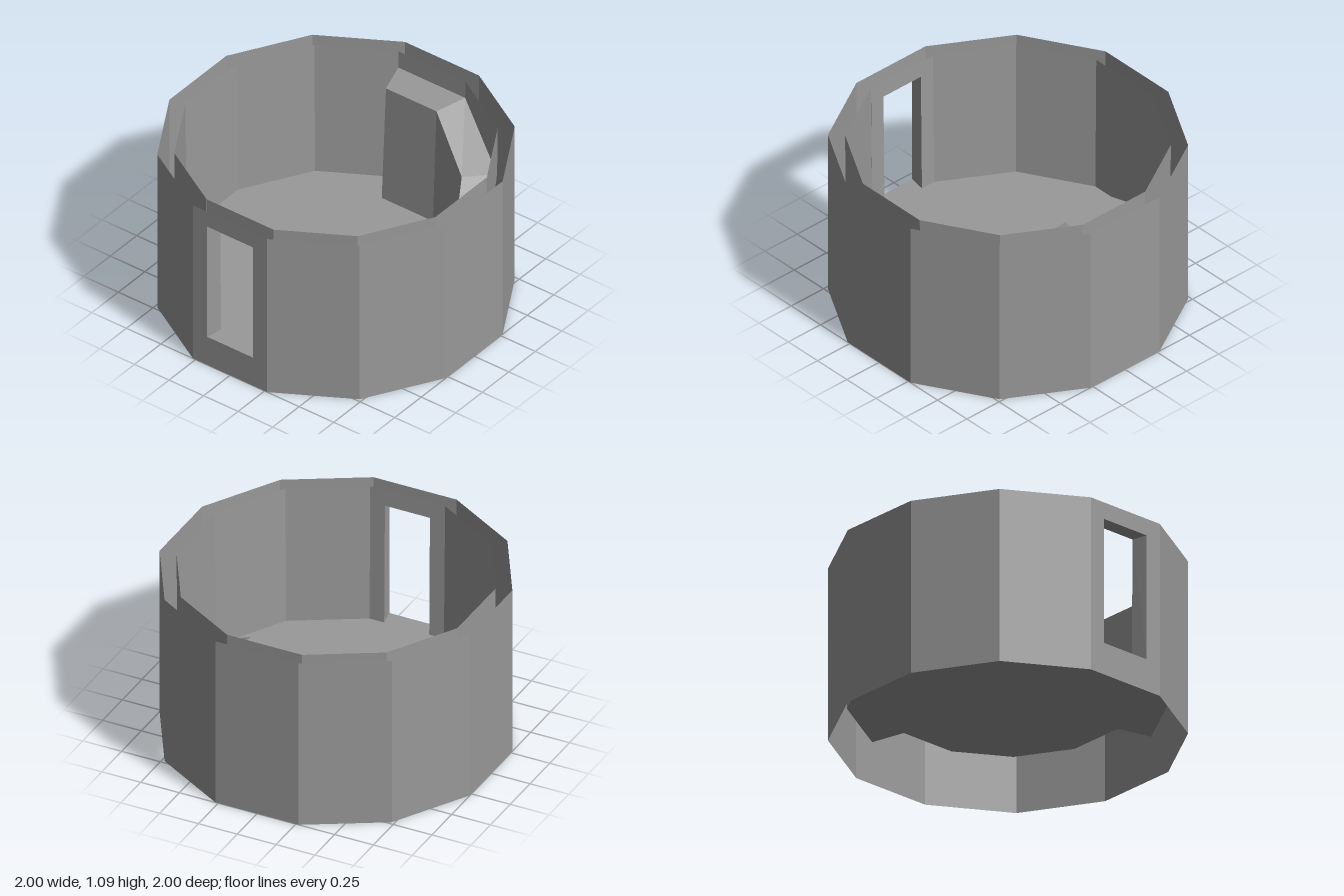
import * as THREE from 'three';

const TOP = 1.09, FLOOR = 0.2, DOOR_TOP = 0.985;
const grey = new THREE.MeshStandardMaterial({ color: 0x999999, side: THREE.DoubleSide });
grey.name = 'plainGrey';

// Corner k of a twelve-sided ring with the given apothem
function corner(k, apothem, y) {
  const r = apothem / Math.cos(Math.PI / 12), a = THREE.MathUtils.degToRad(15 + 30 * k);
  return [r * Math.cos(a), y, r * Math.sin(a)];
}

// The inner wall leans out slightly towards its top
const innerApothem = (y) => 0.895 + 0.01 * (y - FLOOR) / (TOP - FLOOR);
const innerCorner = (k, y) => corner(k, innerApothem(y), y);

// Flat-shaded mesh from four-cornered faces
function quads(name, faces) {
  const pos = faces.flatMap(([a, b, c, d]) => [a, b, c, a, c, d].flat());
  const geo = new THREE.BufferGeometry();
  geo.setAttribute('position', new THREE.Float32BufferAttribute(pos, 3));
  geo.computeVertexNormals();
  const mesh = new THREE.Mesh(geo, grey);
  mesh.name = name;
  return mesh;
}

// Faces joining two rows of points, lower row first
const strip = (low, high) =>
  low.slice(1).map((p, i) => [low[i], high[i], high[i + 1], p]);

// Faces of the -x side around the doorway
function doorSide(xAt, halfSide, halfDoor, base) {
  const p = (z, y) => [xAt(y), y, z];
  const rect = (z0, z1, y0, y1) => [p(z1, y0), p(z1, y1), p(z0, y1), p(z0, y0)];
  const faces = [
    rect(-halfSide, -halfDoor, base, TOP),
    rect(halfDoor, halfSide, base, TOP),
    rect(-halfDoor, halfDoor, DOOR_TOP, TOP),
  ];
  if (base < FLOOR) faces.push(rect(-halfDoor, halfDoor, base, FLOOR));
  return faces;
}

export function createModel() {
  const model = new THREE.Group();
  model.name = 'roundTower';
  const DOOR = 5; // side between corners 5 and 6
  const outerHalf = 0.165, innerHalf = 0.145;

  // Outer wall, open at top and bottom
  const outer = [];
  for (let k = 0; k < 12; k++) {
    if (k === DOOR) continue;
    outer.push(...strip([corner(k, 1, 0), corner(k + 1, 1, 0)], [corner(k, 1, TOP), corner(k + 1, 1, TOP)]));
  }
  outer.push(...doorSide(() => -1, 0.268, outerHalf, 0));
  model.add(quads('outerWall', outer));

  // Ramp heights at corners 3 (foot), 2, 1, 0 and -1 (landing)
  const ks = [3, 2, 1, 0, -1];
  const heights = [FLOOR, 0.528, 0.76, 0.975, 0.975];
  const rampOuter = ks.map((k, i) => innerCorner(k, heights[i]));
  const rampInner = [[-0.19, 0.68], [0.19, 0.7], [0.515, 0.515], [0.7, 0.19], [0.7, -0.175]]
    .map(([x, z], i) => [x, heights[i], z]);
  const rampBase = [[-0.19, 0.68], [0.18, 0.68], [0.495, 0.495], [0.68, 0.18], [0.68, -0.19]]
    .map(([x, z]) => [x, FLOOR, z]);

  // Inner wall: above the ramp on its sides, down to the floor elsewhere
  const inner = strip(rampOuter, ks.map((k) => innerCorner(k, TOP)));
  for (let k = 3; k < 11; k++) {
    if (k === DOOR) continue;
    inner.push(...strip([innerCorner(k, FLOOR), innerCorner(k + 1, FLOOR)],
      [innerCorner(k, TOP), innerCorner(k + 1, TOP)]));
  }
  inner.push(...doorSide((y) => -innerApothem(y), 0.24, innerHalf, FLOOR));
  model.add(quads('innerWall', inner));

  // Ramp walkway, its inner side and the end of the landing
  model.add(quads('rampTop', strip(rampInner, rampOuter)));
  model.add(quads('rampSide', strip(rampBase, rampInner)));
  model.add(quads('landingEnd', [[rampBase[4], rampInner[4], rampOuter[4], innerCorner(-1, FLOOR)]]));

  // Door frame: two jambs and a lintel
  const outAt = (z, y) => [-1, y, z];
  const inAt = (z, y) => [-innerApothem(y), y, z];
  const frame = [-1, 1].map((s) => [
    outAt(s * outerHalf, FLOOR), outAt(s * outerHalf, DOOR_TOP),
    inAt(s * innerHalf, DOOR_TOP), inAt(s * innerHalf, FLOOR),
  ]);
  frame.push([outAt(-outerHalf, DOOR_TOP), outAt(outerHalf, DOOR_TOP),
    inAt(innerHalf, DOOR_TOP), inAt(-innerHalf, DOOR_TOP)]);
  model.add(quads('doorFrame', frame));

  // Floor with the door sill, cut away under the ramp
  const loop = [];
  for (let k = 3; k <= 11; k++) {
    loop.push(innerCorner(k, FLOOR));
    if (k === DOOR) {
      loop.push(inAt(innerHalf, FLOOR), outAt(outerHalf, FLOOR),
        outAt(-outerHalf, FLOOR), inAt(-innerHalf, FLOOR));
    }
  }
  loop.push(...[...rampBase].reverse());
  const shape = new THREE.Shape(loop.map(([x, , z]) => new THREE.Vector2(x, -z)));
  const floorGeo = new THREE.ShapeGeometry(shape);
  floorGeo.rotateX(-Math.PI / 2);
  floorGeo.translate(0, FLOOR, 0);
  const floor = new THREE.Mesh(floorGeo, grey);
  floor.name = 'floor';
  model.add(floor);

  return model;
}
